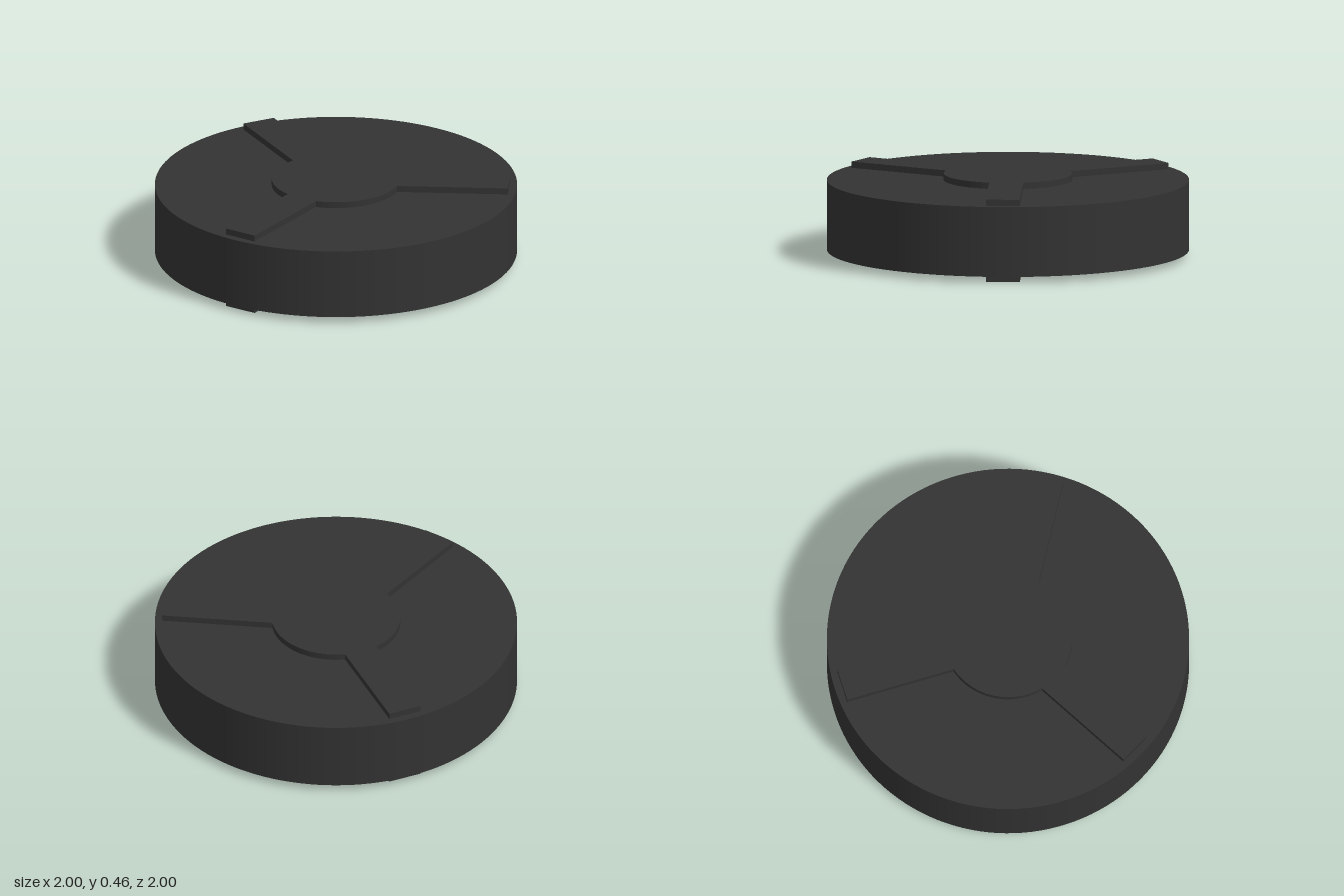
import * as THREE from 'three';
import { toCreasedNormals } from 'three/addons/utils/BufferGeometryUtils.js';

const HUB_RADIUS = 0.355;
const ARM_REACH = 0.957;
const ARM_HALF_WIDTH = 0.094;
const RIB_HEIGHT = 0.035;
const DISC_HEIGHT = 0.39;

// Round hub with three straight arms, as one outline
function ribShape() {
  const shape = new THREE.Shape();
  const spread = Math.asin(ARM_HALF_WIDTH / HUB_RADIUS);
  const third = (Math.PI * 2) / 3;
  const start = -Math.PI / 2;
  for (let i = 0; i < 3; i++) {
    const a = start + i * third;
    const corner = (along, side) => [
      along * Math.cos(a) - side * Math.sin(a),
      along * Math.sin(a) + side * Math.cos(a),
    ];
    const base = HUB_RADIUS * Math.cos(spread);
    if (i === 0) shape.moveTo(...corner(base, -ARM_HALF_WIDTH));
    shape.lineTo(...corner(ARM_REACH, -ARM_HALF_WIDTH));
    shape.lineTo(...corner(ARM_REACH, ARM_HALF_WIDTH));
    shape.lineTo(...corner(base, ARM_HALF_WIDTH));
    shape.absarc(0, 0, HUB_RADIUS, a + spread, a + third - spread, false);
  }
  return shape;
}

export function createModel() {
  const group = new THREE.Group();
  const rubber = new THREE.MeshStandardMaterial({ color: 0x333333 });
  rubber.name = 'dark grey';

  // Main round body
  const disc = new THREE.Mesh(new THREE.CylinderGeometry(1, 1, DISC_HEIGHT, 128), rubber);
  disc.name = 'disc';
  disc.position.y = RIB_HEIGHT + DISC_HEIGHT / 2;
  group.add(disc);

  // Raised three-armed ribs on both faces
  const ribGeometry = toCreasedNormals(
    new THREE.ExtrudeGeometry(ribShape(), { depth: RIB_HEIGHT, bevelEnabled: false, curveSegments: 24 })
      .rotateX(-Math.PI / 2),
    0.5
  );
  for (const [name, y] of [['bottomRib', 0], ['topRib', RIB_HEIGHT + DISC_HEIGHT]]) {
    const rib = new THREE.Mesh(ribGeometry, rubber);
    rib.name = name;
    rib.position.y = y;
    group.add(rib);
  }
  return group;
}
